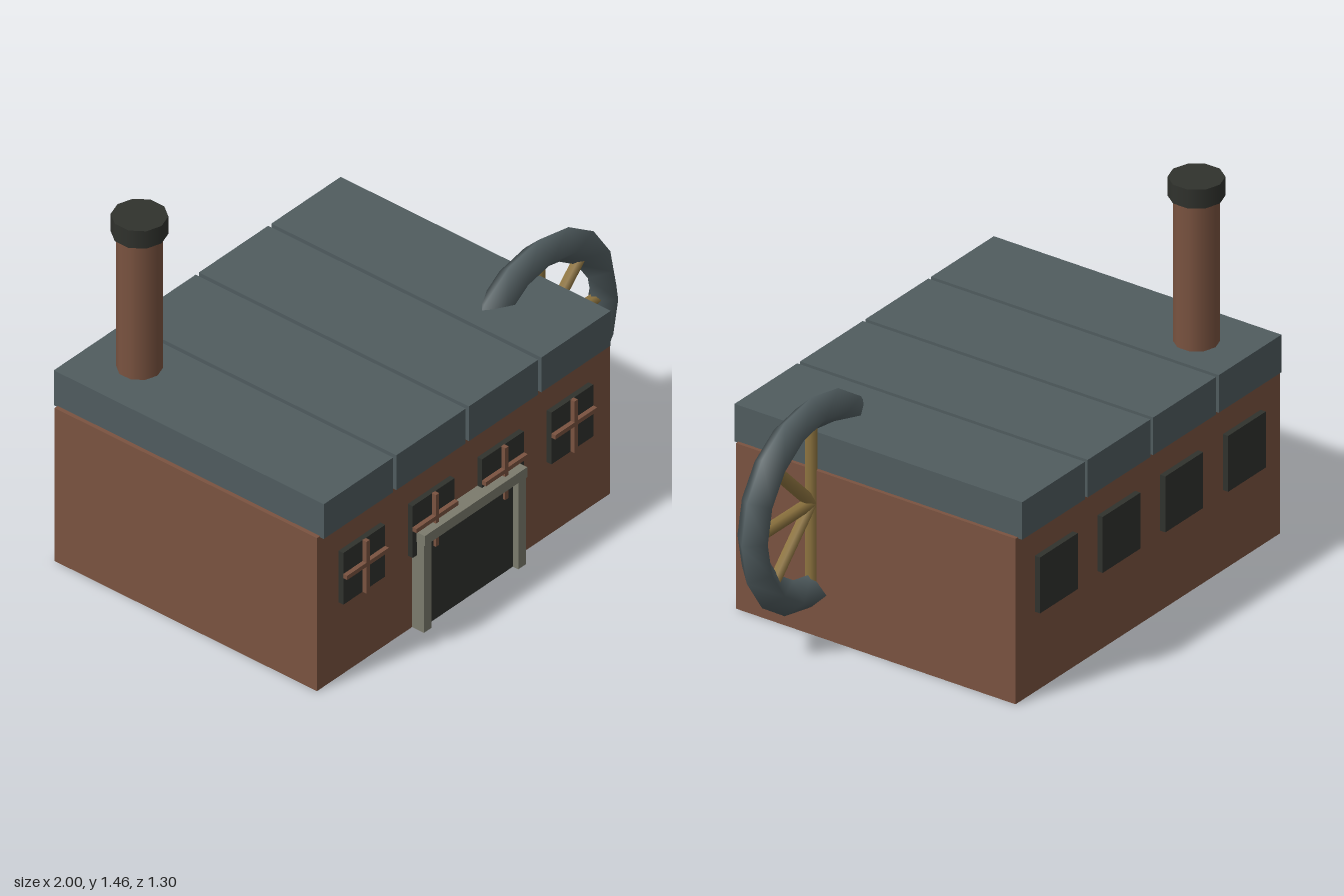
import * as THREE from 'three';

const mat = (color) => new THREE.MeshStandardMaterial({ color });

export function createModel() {
  const brick = mat(0x7a5340), slate = mat(0x505c5f), dark = mat(0x30322d);
  const stone = mat(0x7c7b6d), wood = mat(0x8f7540);
  const model = new THREE.Group();
  model.name = 'mill';

  const add = (name, geometry, material, x, y, z, parent = model) => {
    const mesh = new THREE.Mesh(geometry, material);
    mesh.name = name;
    mesh.position.set(x, y, z);
    parent.add(mesh);
    return mesh;
  };
  // box given by its limits on each axis
  const box = (name, material, [x0, x1], [y0, y1], [z0, z1], parent) =>
    add(name, new THREE.BoxGeometry(x1 - x0, y1 - y0, z1 - z0), material,
      (x0 + x1) / 2, (y0 + y1) / 2, (z0 + z1) / 2, parent);

  // walls
  box('walls', brick, [-1, 0.583], [0, 0.66], [-0.627, 0.59]);

  // four roof slabs with narrow gaps, one window per bay front and back
  for (let i = 0; i < 4; i++) {
    const rx = -0.983 + i * 0.392;
    box('roofSlab', slate, [rx, rx + 0.375], [0.655, 0.805], [-0.645, 0.607]);

    const wx = -0.77 + i * 0.375;
    const pane = [wx - 0.113, wx + 0.113], height = [0.32, 0.543];
    const front = new THREE.Group();
    front.name = 'frontWindow';
    model.add(front);
    box('pane', dark, pane, height, [0.57, 0.612], front);
    box('verticalBar', brick, [wx - 0.009, wx + 0.009], height, [0.61, 0.63], front);
    box('horizontalBar', brick, pane, [0.435, 0.453], [0.61, 0.63], front);
    box('backWindow', dark, pane, height, [-0.65, -0.61]);
  }

  // doorway
  const doorX = -0.21;
  box('door', dark, [doorX - 0.235, doorX + 0.235], [0, 0.38], [0.57, 0.62]);
  for (const s of [-1, 1]) {
    const px = doorX + s * 0.255;
    box('doorPost', stone, [px - 0.021, px + 0.021], [0, 0.38], [0.57, 0.645]);
  }
  box('doorLintel', stone, [doorX - 0.277, doorX + 0.277], [0.377, 0.42], [0.57, 0.65]);

  // chimney
  add('chimney', new THREE.CylinderGeometry(0.083, 0.083, 0.8, 10), brick, -0.77, 0.99, -0.43);
  add('chimneyCap', new THREE.CylinderGeometry(0.102, 0.102, 0.075, 10), dark, -0.77, 1.422, -0.43);

  // water wheel, half sunk into the right-hand wall
  const wheel = new THREE.Group();
  wheel.name = 'waterWheel';
  wheel.position.set(0.582, 0.527, 0.262);
  model.add(wheel);
  add('rim', new THREE.TorusGeometry(0.352, 0.066, 4, 16), slate, 0, 0, 0, wheel);
  for (let i = 0; i < 4; i++) {
    const spoke = add('spoke', new THREE.CylinderGeometry(0.024, 0.024, 0.7, 6), wood, 0, 0, 0, wheel);
    spoke.rotation.z = i * Math.PI / 4;
  }
  return model;
}
